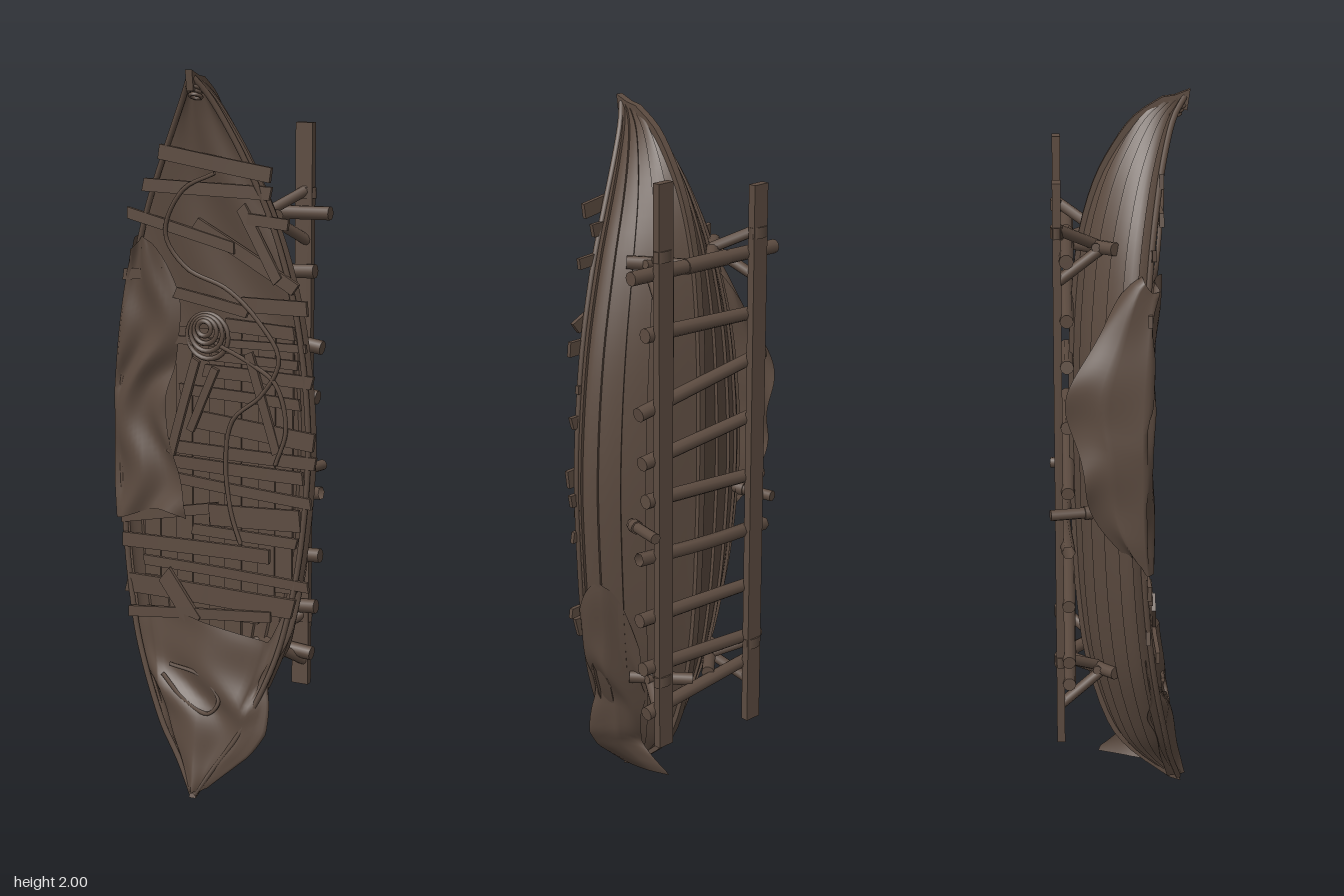
import * as THREE from 'three';

const wood = new THREE.MeshStandardMaterial({ color: 0x5c4b40, side: THREE.DoubleSide });
wood.name = 'weathered brown';
const V = (x, y, z) => new THREE.Vector3(x, y, z);

// Hull stations: height, half width, rim z, keel z
const stations = [
  [0.01, 0.004, 0.176, 0.165], [0.1, 0.06, 0.15, 0.05], [0.2, 0.125, 0.132, -0.02], [0.4, 0.21, 0.098, -0.08],
  [0.6, 0.255, 0.074, -0.105], [0.8, 0.278, 0.06, -0.115], [1.0, 0.287, 0.055, -0.12], [1.2, 0.275, 0.058, -0.12],
  [1.4, 0.245, 0.067, -0.115], [1.6, 0.19, 0.083, -0.095], [1.75, 0.128, 0.103, -0.055], [1.85, 0.08, 0.122, -0.005],
  [1.93, 0.038, 0.145, 0.055], [1.98, 0.006, 0.175, 0.13],
];
const curveA = new THREE.SplineCurve(stations.map(s => new THREE.Vector2(s[0], s[1])));
const curveB = new THREE.SplineCurve(stations.map(s => new THREE.Vector2(s[2], s[3])));
const station = t => {
  const a = curveA.getPoint(t), b = curveB.getPoint(t);
  return { y: a.x, w: a.y, g: b.x, k: b.y };
};
const stationAt = y => {
  let lo = 0, hi = 1;
  for (let i = 0; i < 24; i++) {
    const m = (lo + hi) / 2;
    if (curveA.getPoint(m).x < y) lo = m; else hi = m;
  }
  return station(lo);
};

// Cross-section from rim to keel, as fractions of half width and depth
const section = new THREE.SplineCurve(
  [[1, 0], [1.02, 0.2], [0.87, 0.44], [0.63, 0.68], [0.36, 0.87], [0, 1]].map(p => new THREE.Vector2(...p)));
const hullPoint = (st, s, side, out = 0) => {
  const p = section.getPoint(Math.min(s, 1));
  return V(side * (p.x * st.w + out * p.x), st.y, st.g + (st.k - st.g) * p.y - out * p.y);
};

// Grid surface from a rule giving a point for (u, v)
function grid(rule, nu, nv) {
  const pos = [], idx = [];
  for (let j = 0; j <= nv; j++) for (let i = 0; i <= nu; i++) pos.push(...rule(i / nu, j / nv).toArray());
  for (let j = 0; j < nv; j++) for (let i = 0; i < nu; i++) {
    const a = j * (nu + 1) + i, b = a + nu + 1;
    idx.push(a, a + 1, b, a + 1, b + 1, b);
  }
  const g = new THREE.BufferGeometry();
  g.setAttribute('position', new THREE.Float32BufferAttribute(pos, 3));
  g.setIndex(idx);
  g.computeVertexNormals();
  return g;
}

// Point on a polyline of vectors
const along = (pts, u) => {
  const f = u * (pts.length - 1), i = Math.min(Math.floor(f), pts.length - 2);
  return pts[i].clone().lerp(pts[i + 1], f - i);
};

export function createModel() {
  const model = new THREE.Group();
  model.name = 'wreckedBoat';
  const add = (name, geo) => {
    const m = new THREE.Mesh(geo, wood);
    m.name = name;
    model.add(m);
    return m;
  };
  const rod = (name, a, b, r, r2 = r) => {
    const d = b.clone().sub(a);
    const m = add(name, new THREE.CylinderGeometry(r2, r, d.length(), 10));
    m.position.copy(a).add(b).multiplyScalar(0.5);
    m.quaternion.setFromUnitVectors(V(0, 1, 0), d.normalize());
    return m;
  };
  const tube = (name, pts, r, n = 40) =>
    add(name, new THREE.TubeGeometry(new THREE.CatmullRomCurve3(pts), n, r, 6));

  // Overlapping strakes with closed lower edges, and the rim, on both sides
  const strakes = 6;
  for (const side of [-1, 1]) {
    for (let i = 0; i < strakes; i++) {
      add('strake', grid((u, v) => hullPoint(station(v), (i + u) / strakes, side, -0.005 + 0.009 * u), 4, 48));
      add('strakeEdge', grid((u, v) => hullPoint(station(v), (i + 1) / strakes, side, 0.004 - 0.009 * u), 1, 48));
    }
    const rim = Array.from({ length: 30 }, (_, i) => hullPoint(station(i / 29), 0, side));
    tube('rim', rim, 0.008, 80);
  }

  // Keel and the two stems
  const keel = new THREE.Shape();
  const n = 40;
  for (let i = 0; i <= n; i++) {
    const st = station(i / n);
    keel[i ? 'lineTo' : 'moveTo'](st.k - 0.013, st.y);
  }
  keel.lineTo(0.15, 1.985).lineTo(0.19, 2).lineTo(0.182, 1.945);
  for (let i = n - 2; i >= 2; i--) {
    const st = station(i / n);
    keel.lineTo(st.k + 0.025, st.y);
  }
  keel.lineTo(0.16, 0.06).lineTo(0.182, 0);
  const keelGeo = new THREE.ExtrudeGeometry(keel, { depth: 0.02, bevelEnabled: false });
  keelGeo.rotateY(-Math.PI / 2).translate(0.01, 0, 0);
  add('keel', keelGeo);
  for (let i = 0; i < 3; i++) {
    const ring = add('stemLashing', new THREE.TorusGeometry(0.016, 0.005, 6, 14));
    ring.position.set(0, 1.93 + i * 0.011, 0.15 + i * 0.006);
    ring.rotation.x = Math.PI / 2 - 0.4;
  }
  rod('stemPin', V(0.004, 1.975, 0.14), V(0.004, 1.953, 0.08), 0.005);

  // Lengthwise boards just under the planks
  for (let i = -4; i <= 4; i++) {
    const b = add('floorBoard', new THREE.BoxGeometry(0.05, 1.2 - Math.abs(i) * 0.1, 0.01));
    b.position.set(i * 0.051, 0.98, 0.025 + 0.004 * (i % 2));
  }

  // Broken planks across the opening: x1, y1, x2, y2, width
  const planks = [
    [-0.13, 1.78, 0.2, 1.73, 0.04], [-0.18, 1.69, 0.19, 1.68, 0.035], [-0.24, 1.61, 0.08, 1.53, 0.03],
    [-0.04, 1.59, 0.26, 1.43, 0.035], [0.12, 1.61, 0.24, 1.6, 0.03], [0.1, 1.64, 0.21, 1.45, 0.03],
    [-0.26, 1.44, -0.14, 1.45, 0.03], [0.1, 1.38, 0.29, 1.38, 0.04], [-0.12, 1.27, 0.28, 1.27, 0.022],
    [-0.02, 1.19, 0.3, 1.18, 0.035], [-0.1, 1.13, 0.27, 1.12, 0.03], [-0.05, 1.05, 0.31, 1.02, 0.05],
    [-0.14, 0.97, 0.31, 0.96, 0.035], [-0.1, 0.88, 0.3, 0.85, 0.03], [-0.28, 0.75, 0.02, 0.81, 0.03],
    [-0.27, 0.69, 0.18, 0.69, 0.04], [-0.2, 0.64, 0.3, 0.62, 0.028], [-0.26, 0.565, 0.265, 0.56, 0.055],
    [-0.14, 0.925, 0.28, 0.92, 0.035], [0.0, 0.79, 0.27, 0.8, 0.06], [-0.05, 0.745, 0.26, 0.735, 0.03],
    [0.05, 1.32, 0.25, 1.31, 0.035], [0.0, 1.23, 0.26, 1.225, 0.025],
  ];
  const loose = [
    [-0.24, 0.49, 0.2, 0.53, 0.03], [-0.13, 0.61, -0.03, 0.48, 0.05], [-0.04, 1.22, -0.12, 0.95, 0.025],
    [0.02, 1.2, -0.06, 1.02, 0.022], [0.12, 1.25, 0.2, 0.98, 0.025], [-0.1, 1.4, 0.12, 1.36, 0.03],
  ];
  [...planks, ...loose].forEach(([x1, y1, x2, y2, w], i) => {
    const len = Math.hypot(x2 - x1, y2 - y1), y = (y1 + y2) / 2;
    const geo = new THREE.BoxGeometry(len, w, 0.012, 4, 1, 1);
    const p = geo.attributes.position;
    for (let k = 0; k < p.count; k++) {
      const x = p.getX(k), h = p.getY(k);
      if (Math.abs(x) > len * 0.49) p.setX(k, x + h * 0.25 * Math.sin(i * 2.3));
      p.setZ(k, p.getZ(k) + 0.005 * Math.cos(x * 8 + i));
    }
    geo.computeVertexNormals();
    const m = add('plank', geo);
    m.position.set((x1 + x2) / 2, y, stationAt(y).g + (i < planks.length ? 0.006 : 0.017));
    m.rotation.set(0, 0.03 * Math.sin(i * 1.7), Math.atan2(y2 - y1, x2 - x1));
  });

  // Covering under the upper planks
  add('upperCover', grid((u, v) => {
    const st = stationAt(1.3 + v * 0.64), x = (u * 2 - 1);
    return V(x * st.w, st.y, st.g - 0.012 + 0.006 * Math.sin(x * 6 + v * 9));
  }, 16, 16));

  // Rope coil and trailing ropes
  for (let i = 0; i < 4; i++) {
    const ring = add('ropeCoil', new THREE.TorusGeometry(0.02 + i * 0.014, 0.007, 6, 24));
    ring.position.set(-0.005, 1.31 - i * 0.008, 0.096 - i * 0.007);
  }
  const rope = (...pts) =>
    tube('rope', pts.map(([x, y]) => V(x, y, stationAt(y).g + 0.02)), 0.006, 60);
  rope([0.04, 1.73], [-0.06, 1.68], [-0.12, 1.56], [-0.06, 1.47], [0.06, 1.42], [0.15, 1.34], [0.21, 1.24],
    [0.16, 1.14], [0.07, 1.06], [0.05, 0.94], [0.07, 0.8], [0.1, 0.72]);
  rope([0.02, 1.27], [0.13, 1.22], [0.2, 1.17], [0.23, 1.05], [0.2, 0.95]);

  // Cloth draped over the right rim and hanging back
  add('sideCloth', grid((u, v) => {
    const y = 0.77 + v * 0.76, st = stationAt(y);
    const inner = -0.1 + 0.03 * Math.cos(v * 8) - 0.06 * Math.pow(v, 5);
    const hang = 0.05 - 0.2 * Math.pow(Math.sin(Math.PI * v), 0.7) * (0.9 + 0.1 * Math.sin(v * 13));
    const edge = -Math.min(st.w + 0.018, 0.3);
    const p = along([V(inner, y, st.g + 0.018), V((inner + edge) / 2, y, st.g + 0.028), V(edge, y, st.g + 0.014),
      V(edge - 0.006, y, (st.g + hang) / 2), V(edge + 0.024 + 0.014 * Math.sin(v * 15), y, hang)], u);
    const fold = Math.sin(u * 17 + v * 7 + Math.sin(v * 12) * 1.8);
    p.z += u < 0.5 ? 0.012 * fold : 0;
    p.x += u > 0.5 ? 0.007 * (u - 0.5) * 2 * Math.sin(v * 22 + u * 4) : 0;
    p.y += 0.02 * Math.sin(u * 9);
    return p;
  }, 32, 44));

  // Cloth wrapped round the lower end, with a loose flap on the left
  add('lowerCloth', grid((u, v) => {
    const top = 0.48 + 0.03 * Math.sin(u * 8) + (u > 0.55 ? 0.24 * Math.sin((u - 0.55) / 0.45 * Math.PI) : 0);
    const low = u > 0.6 ? 0.02 + (u - 0.6) * 0.125 : 0.02;
    const y = low + v * (top - low), st = stationAt(y);
    const flare = 0.055 * Math.max(0, y < 0.2 ? Math.min(1, y / 0.13) : 1 - (y - 0.2) / 0.12);
    const side = hullPoint(st, 0.35, 1, 0.012 + flare * 0.6), deep = hullPoint(st, 0.62, 1, 0.012);
    const loosen = THREE.MathUtils.clamp((0.16 - y) / 0.08, 0, 1);
    deep.z = THREE.MathUtils.lerp(deep.z, -0.055, loosen);
    deep.x += 0.02 * loosen;
    side.z = THREE.MathUtils.lerp(side.z, 0.04, loosen);
    const p = along([V(-st.w - 0.01, y, st.g - 0.03), V(-st.w * 0.75, y, st.g + 0.012), V(0, y, st.g + 0.022),
      V(st.w * 0.75, y, st.g + 0.012), V(st.w + 0.01 + flare, y, st.g - 0.01), side, deep], u);
    const fold = 0.011 * Math.sin(u * 18 + v * 9 + Math.sin(v * 11)) * Math.min(1, y * 4);
    p.z += u < 0.6 ? fold : 0;
    p.x += u > 0.6 ? fold : 0;
    return p;
  }, 48, 32));
  tube('clothFold', [[-0.12, 0.33], [-0.05, 0.27], [0.03, 0.24], [0.06, 0.28], [0.0, 0.34], [-0.1, 0.36]]
    .map(([x, y]) => V(x, y, stationAt(y).g + 0.02)), 0.006);

  // Rear frame: flat poles, rungs, braces and pegs
  for (const [x, y0, y1] of [[-0.172, 0.22, 1.79], [0.172, 0.26, 1.85]]) {
    const pole = add('framePole', new THREE.BoxGeometry(0.05, y1 - y0, 0.022));
    pole.position.set(x, (y0 + y1) / 2, -0.162);
  }
  [[0.36, 0.4], [0.5, 0.47], [0.65, 0.63], [0.99, 0.96], [1.1, 1.14], [1.24, 1.31], [1.45, 1.43]].forEach(([yl, yr], i) =>
    rod('rung', V(0.215 + 0.012 * (i % 3), yl, -0.138), V(-0.21 - 0.012 * (i % 2), yr, -0.138), 0.02, 0.018));
  tube('bentRung', [V(0.24, 0.83, -0.138), V(0, 0.815, -0.15), V(-0.24, 0.8, -0.138)], 0.019);
  rod('topRung', V(-0.26, 1.6, -0.138), V(0.26, 1.61, -0.135), 0.019);
  rod('topRungSleeve', V(-0.08, 1.603, -0.137), V(0.07, 1.606, -0.137), 0.021);
  for (const s of [-1, 1]) {
    for (const y of [0.4, 1.6]) {
      rod('poleBrace', V(s * 0.18, y + 0.07, -0.165), V(s * 0.1, y + 0.01, -0.06), 0.015);
      rod('crossBrace', V(s * 0.03, y, -0.13), V(s * 0.16, y + 0.01, -0.01), 0.018);
      rod('poleBrace', V(s * 0.18, y - 0.07, -0.16), V(s * 0.12, y, -0.05), 0.015);
      rod('poleLashing', V(s * 0.174, y + 0.045, -0.162), V(s * 0.174, y + 0.075, -0.162), 0.03).scale.z = 0.55;
      rod('braceLashing', V(s * 0.075, y, -0.06), V(s * 0.14, y + 0.01, -0.06), 0.012);
    }
    rod('peg', V(s * 0.222, 0.9, -0.185), V(s * 0.197, 0.9, -0.062), 0.015);
    rod('pegCollar', V(s * 0.205, 0.9, -0.095), V(s * 0.2, 0.9, -0.075), 0.019);
  }
  return model;
}
